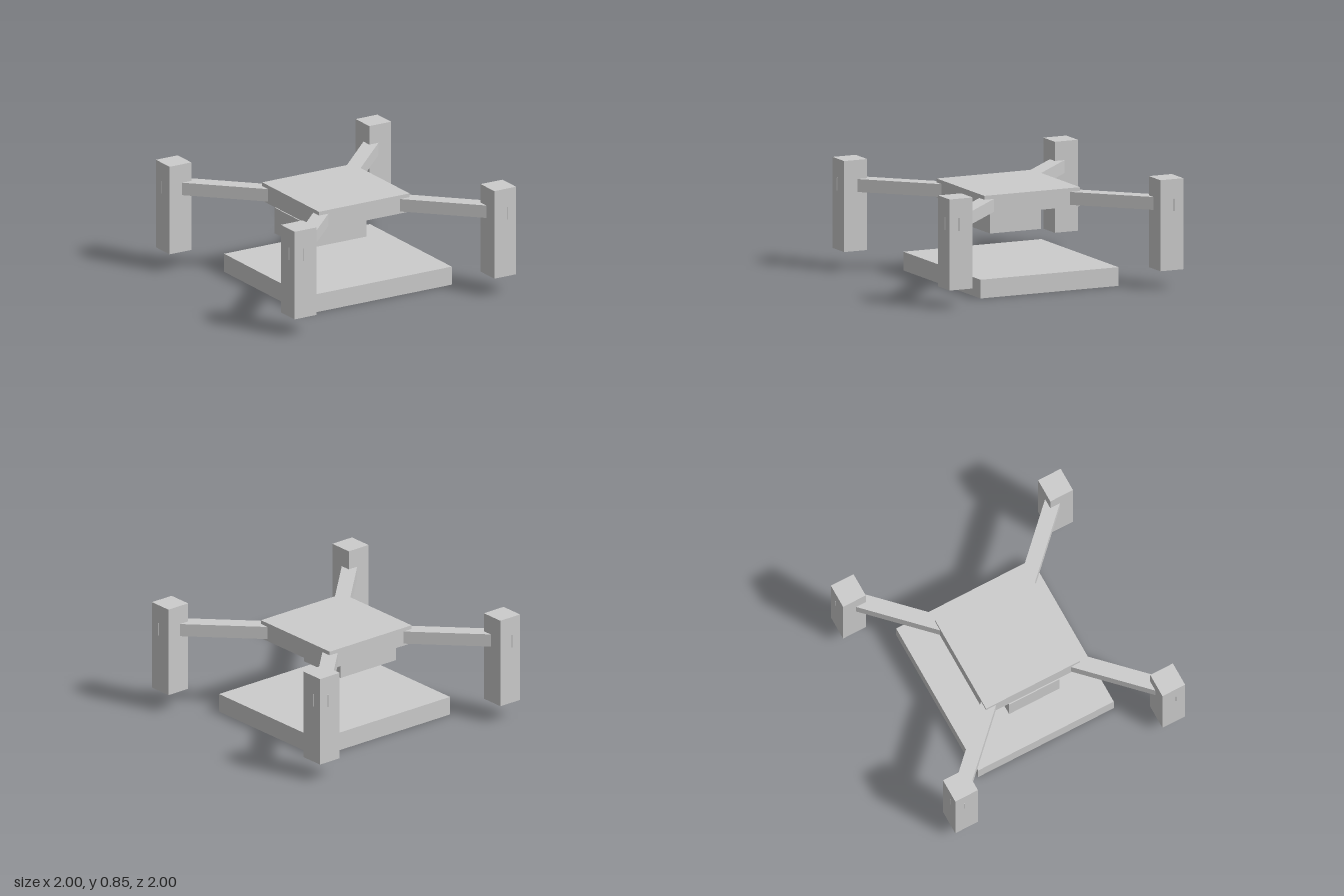
import * as THREE from 'three';

const material = new THREE.MeshStandardMaterial({ color: 0xcccccc, flatShading: true });

// Box given by its extents on each axis
function box(name, [x0, x1], [y0, y1], [z0, z1]) {
  const mesh = new THREE.Mesh(new THREE.BoxGeometry(x1 - x0, y1 - y0, z1 - z0), material);
  mesh.name = name;
  mesh.position.set((x0 + x1) / 2, (y0 + y1) / 2, (z0 + z1) / 2);
  return mesh;
}

export function createModel() {
  const model = new THREE.Group();
  model.name = 'quadFrame';

  // Low slab, central body and the box slung under it
  model.add(box('baseSlab', [-0.63, 0.68], [0, 0.145], [-0.6, 0.575]));
  model.add(box('body', [-0.407, 0.407], [0.588, 0.735], [-0.41, 0.405]));
  model.add(box('underBox', [-0.416, 0.135], [0.383, 0.59], [-0.215, 0.22]));

  // Four diagonal arms, each ending in an upright post
  const names = { '1,1': 'frontLeft', '-1,1': 'frontRight', '1,-1': 'backLeft', '-1,-1': 'backRight' };
  for (const sx of [-1, 1]) {
    for (const sz of [-1, 1]) {
      const corner = names[`${sx},${sz}`];

      // Arm runs from inside the body until its tips just break the post's outer faces
      const inner = 0.3, outer = 0.958;
      const arm = new THREE.Mesh(
        new THREE.BoxGeometry((outer - inner) * Math.SQRT2, 0.1, 0.118), material);
      arm.name = corner + 'Arm';
      arm.position.set(sx * (inner + outer) / 2, 0.655, sz * (inner + outer) / 2);
      arm.rotation.y = Math.atan2(-sz, sx);
      model.add(arm);

      const post = new THREE.Mesh(new THREE.BoxGeometry(0.196, 0.705, 0.196), material);
      post.name = corner + 'Post';
      post.position.set(sx * 0.897, 0.501, sz * 0.897);
      model.add(post);
    }
  }
  return model;
}
